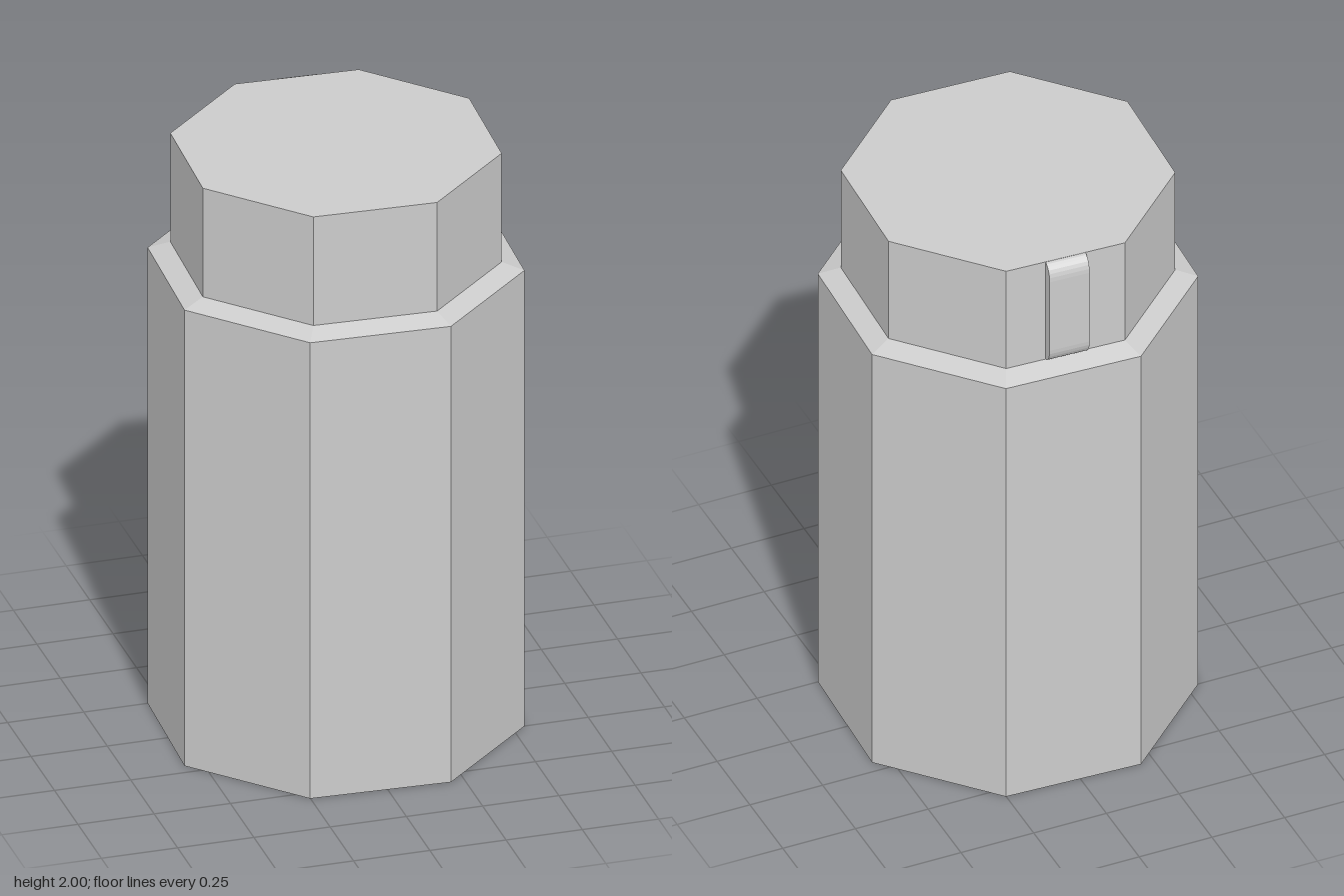
import * as THREE from 'three';

const TURN = THREE.MathUtils.degToRad(20.1); // the octagon sits slightly twisted

export function createModel() {
  const group = new THREE.Group();
  const material = new THREE.MeshStandardMaterial({ color: 0xcccccc, flatShading: true });

  const add = (name, geometry) => {
    const mesh = new THREE.Mesh(geometry, material);
    mesh.name = name;
    group.add(mesh);
    return mesh;
  };
  const octagon = (profile) =>
    new THREE.LatheGeometry(profile.map(([r, y]) => new THREE.Vector2(r, y)), 8, TURN);

  // Body with its bevelled shoulder
  add('body', octagon([[0, 0], [0.596, 0], [0.596, 1.595], [0.524, 1.62]]));

  // Narrower lid
  add('lid', octagon([[0.524, 1.62], [0.524, 2], [0, 2]]));

  // Rounded clip, centred on the back face of the lid
  const outline = new THREE.Shape();
  const inner = 0.475, outer = 0.519, bottom = 1.621, top = 1.999;
  outline.moveTo(inner, bottom);
  outline.lineTo(0.484, bottom);
  outline.bezierCurveTo(0.502, bottom + 0.002, outer, bottom + 0.025, outer, bottom + 0.055);
  outline.lineTo(outer, top - 0.055);
  outline.bezierCurveTo(outer, top - 0.025, 0.502, top - 0.002, 0.484, top);
  outline.lineTo(inner, top);
  outline.closePath();
  const width = 0.135;
  const clipGeometry = new THREE.ExtrudeGeometry(outline, { depth: width, bevelEnabled: false, curveSegments: 6 });
  clipGeometry.translate(0, 0, -width / 2).rotateY(Math.PI / 2);
  add('clip', clipGeometry).rotation.y = TURN - Math.PI / 8;

  return group;
}
